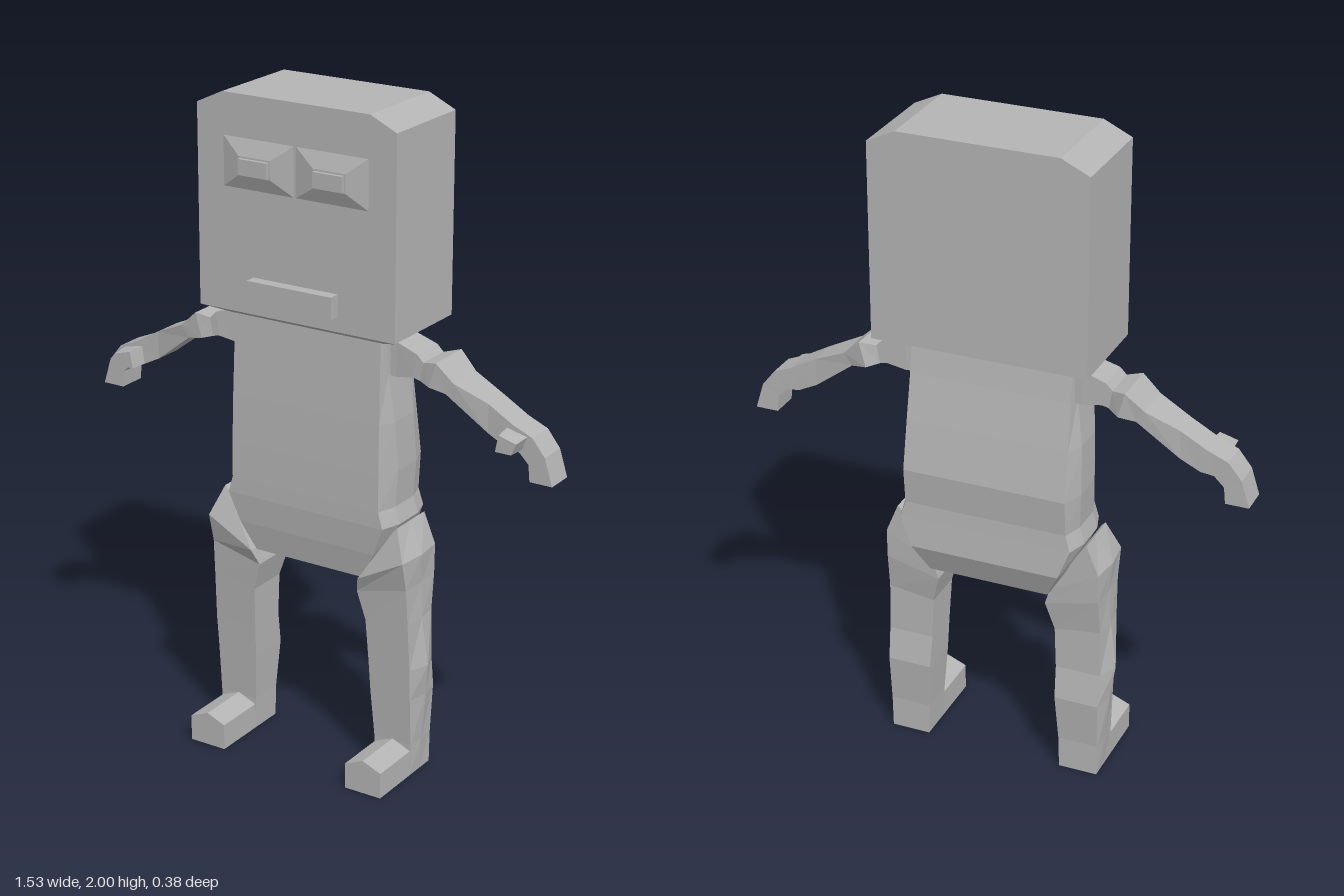
import * as THREE from 'three';

const skin = new THREE.MeshStandardMaterial({ color: 0xb4b4b4 });
skin.name = 'plain grey';

// Flat-shaded skin over cross-section rings with end caps; side = -1 mirrors it in x.
// Rings run anticlockwise seen from the far end.
function loft(name, rings, side = 1) {
  const sections = rings.map(r => {
    const pts = r.map(([x, y, z]) => [x * side, y, z]);
    return side < 0 ? pts.reverse() : pts;
  });
  const n = sections[0].length, last = sections.length - 1, pos = [];
  const tri = (a, b, c) => pos.push(...a, ...b, ...c);
  for (let i = 0; i < last; i++) {
    for (let j = 0; j < n; j++) {
      const k = (j + 1) % n, lo = sections[i], hi = sections[i + 1];
      tri(lo[j], lo[k], hi[k]);
      tri(lo[j], hi[k], hi[j]);
    }
  }
  for (let j = 1; j < n - 1; j++) {
    tri(sections[0][0], sections[0][j + 1], sections[0][j]);
    tri(sections[last][0], sections[last][j], sections[last][j + 1]);
  }
  const geo = new THREE.BufferGeometry();
  geo.setAttribute('position', new THREE.Float32BufferAttribute(pos, 3));
  geo.computeVertexNormals();
  const mesh = new THREE.Mesh(geo, skin);
  mesh.name = name;
  return mesh;
}

function box(name, x0, x1, y0, y1, z0, z1) {
  const mesh = new THREE.Mesh(new THREE.BoxGeometry(x1 - x0, y1 - y0, z1 - z0), skin);
  mesh.position.set((x0 + x1) / 2, (y0 + y1) / 2, (z0 + z1) / 2);
  mesh.name = name;
  return mesh;
}

export function createModel() {
  const model = new THREE.Group();
  model.name = 'blockHeadFigure';

  // Head: chamfered top corners, tapered underside. [y, halfWidth, front, back]
  model.add(loft('head', [
    [1.34, 0.25, 0.06, -0.13], [1.37, 0.325, 0.12, -0.187],
    [1.96, 0.325, 0.12, -0.187], [2.0, 0.24, 0.12, -0.187],
  ].map(([y, w, f, b]) => [[w, y, f], [w, y, b], [-w, y, b], [-w, y, f]])));
  model.add(box('mouth', -0.14, 0.14, 1.415, 1.48, 0.11, 0.155));

  // Torso: bevelled sides, narrowing to the crotch. [y, faceHalf, midHalf, front, back]
  model.add(loft('torso', [
    [0.615, 0.185, 0.19, 0.055, -0.12], [0.7, 0.23, 0.24, 0.07, -0.155],
    [0.79, 0.265, 0.285, 0.078, -0.148], [0.84, 0.25, 0.27, 0.078, -0.145],
    [0.95, 0.25, 0.275, 0.077, -0.155], [1.1, 0.248, 0.27, 0.073, -0.13],
    [1.24, 0.246, 0.252, 0.067, -0.105], [1.345, 0.245, 0.25, 0.063, -0.09],
  ].map(([y, w, m, f, b]) => {
    const c = (f + b) / 2;
    return [[w, y, f], [m, y, c + 0.05], [m, y, c - 0.05], [w, y, b],
      [-w, y, b], [-m, y, c - 0.05], [-m, y, c + 0.05], [-w, y, f]];
  })));

  for (const s of [1, -1]) {
    const label = s > 0 ? 'left' : 'right';

    // Eye on its raised socket
    const rect = (x0, x1, y0, y1, z) => [[x0, y0, z], [x1, y0, z], [x1, y1, z], [x0, y1, z]];
    model.add(loft(label + 'EyeSocket', [
      rect(0, 0.24, 1.73, 1.88, 0.119), rect(0.07, 0.175, 1.775, 1.83, 0.138),
    ], s));
    const eyeX = [0.075 * s, 0.17 * s].sort((a, b) => a - b);
    model.add(box(label + 'Eye', ...eyeX, 1.78, 1.825, 0.12, 0.15));

    // Arm curling down into the hand. [topX, topY, bottomX, bottomY, front, back]
    model.add(loft(label + 'Arm', [
      [0.2, 1.335, 0.2, 1.235, 0.02, -0.08], [0.27, 1.338, 0.27, 1.235, 0.02, -0.085],
      [0.34, 1.315, 0.33, 1.245, 0.025, -0.085], [0.36, 1.295, 0.35, 1.24, 0.025, -0.085],
      [0.405, 1.305, 0.385, 1.23, 0.035, -0.108], [0.46, 1.255, 0.435, 1.22, 0.03, -0.095],
      [0.56, 1.21, 0.56, 1.125, 0.01, -0.08], [0.64, 1.165, 0.62, 1.095, 0.012, -0.078],
      [0.70, 1.14, 0.66, 1.09, 0.012, -0.077], [0.74, 1.09, 0.69, 1.06, 0.012, -0.076],
      [0.765, 1.01, 0.695, 1.01, 0.012, -0.076],
    ].map(([tx, ty, bx, by, f, b]) => [[bx, by, f], [bx, by, b], [tx, ty, b], [tx, ty, f]]), s));
    model.add(loft(label + 'Thumb', [
      [[0.61, 1.1, 0], [0.67, 1.1, 0], [0.685, 1.14, 0], [0.62, 1.155, 0]],
      [[0.615, 1.1, 0.067], [0.665, 1.1, 0.067], [0.68, 1.135, 0.067], [0.625, 1.15, 0.067]],
    ], s));

    // Leg with a slanted hip. [innerX, innerY, outerX, outerY, outer bulge, front, back]
    model.add(loft(label + 'Leg', [
      [0.215, 0, 0.335, 0, 0, 0.025, -0.085], [0.212, 0.1, 0.337, 0.1, 0.004, 0.025, -0.085],
      [0.203, 0.25, 0.338, 0.25, 0.015, 0.035, -0.098], [0.2, 0.35, 0.34, 0.35, 0.025, 0.042, -0.082],
      [0.195, 0.48, 0.337, 0.5, 0.008, 0.052, -0.082], [0.17, 0.57, 0.335, 0.61, 0.004, 0.06, -0.098],
      [0.185, 0.62, 0.335, 0.7, 0.01, 0.082, -0.1], [0.285, 0.78, 0.297, 0.792, 0, 0.05, -0.1],
    ].map(([ix, iy, ox, oy, bulge, f, b]) => {
      const c = (f + b) / 2;
      return [[ix, iy, f], [ox, oy, f], [ox + bulge, oy, c], [ox, oy, b], [ix, iy, b]];
    }), s));

    // Foot with a ridged top
    model.add(loft(label + 'Foot', [0, 0.19].map(z => [
      [0.215, 0, z], [0.335, 0, z], [0.335, 0.08, z], [0.275, 0.105, z], [0.215, 0.08, z],
    ]), s));
  }
  return model;
}
